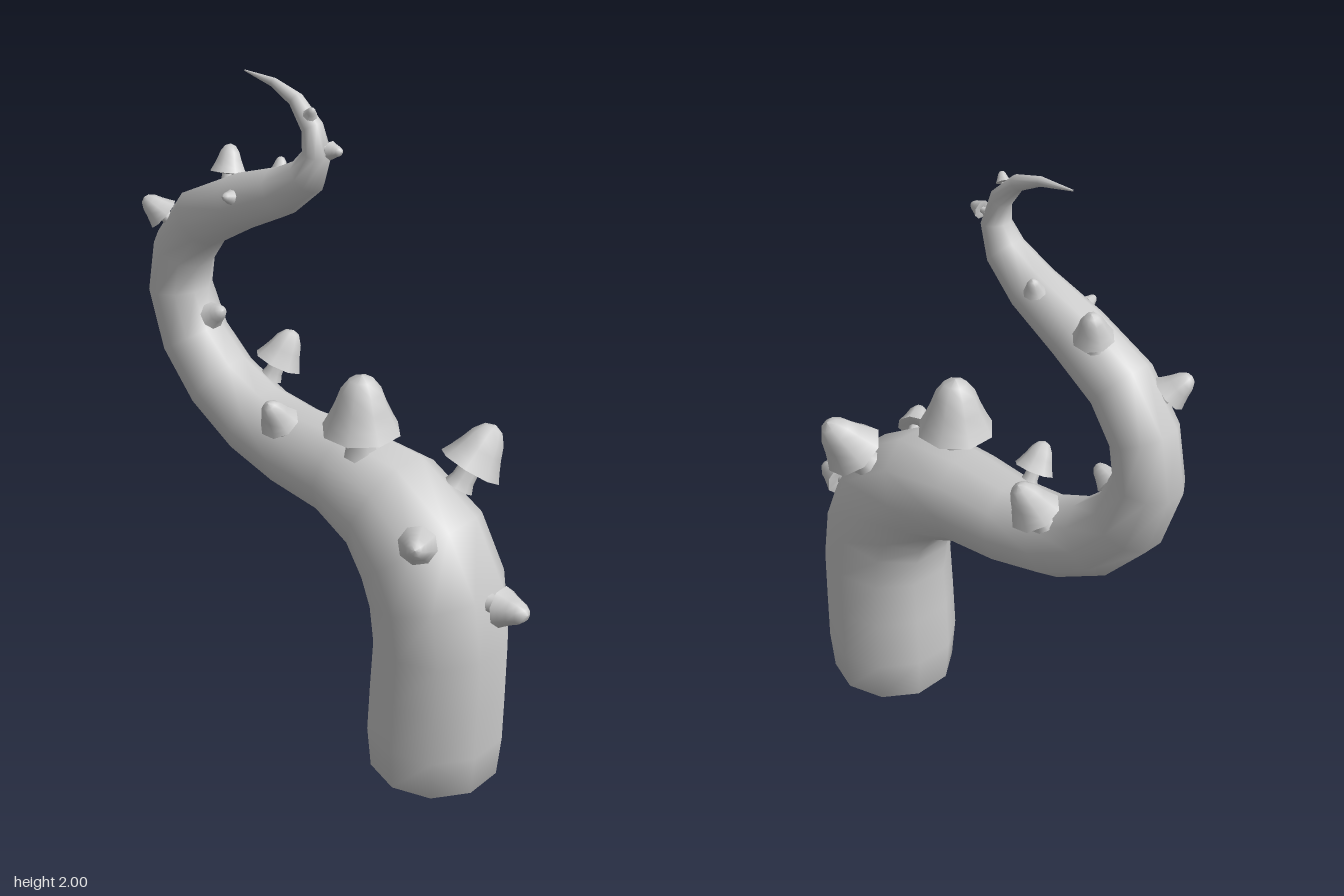
import * as THREE from 'three';

const material = new THREE.MeshStandardMaterial({ color: 0xcccccc });
const SIDES = 10;

// Tentacle rings from base to tip: centre x, centre y, radius
const RINGS = [
  [0.40, 0, 0.001], [0.40, 0.005, 0.135], [0.41, 0.045, 0.195], [0.41, 0.18, 0.207],
  [0.415, 0.34, 0.204], [0.42, 0.5, 0.2], [0.40, 0.64, 0.2], [0.34, 0.76, 0.195],
  [0.22, 0.855, 0.172], [0.05, 0.892, 0.142], [-0.14, 0.9, 0.128], [-0.3, 0.935, 0.118],
  [-0.45, 1.015, 0.11], [-0.56, 1.13, 0.103], [-0.615, 1.28, 0.096], [-0.59, 1.41, 0.094],
  [-0.505, 1.525, 0.092], [-0.35, 1.61, 0.083], [-0.19, 1.68, 0.07], [-0.09, 1.75, 0.055],
  [-0.055, 1.82, 0.041], [-0.072, 1.89, 0.031], [-0.13, 1.953, 0.022], [-0.21, 1.983, 0.013],
  [-0.32, 1.995, 0.002],
];

// Sweep a ring of vertices along the bent centre line
function createTentacle() {
  const positions = [];
  const index = [];
  RINGS.forEach(([x, y, r], k) => {
    const before = RINGS[Math.max(k - 1, 0)];
    const after = RINGS[Math.min(k + 1, RINGS.length - 1)];
    const t = new THREE.Vector2(after[0] - before[0], after[1] - before[1]).normalize();
    if (k < 3) t.set(0, 1);
    for (let j = 0; j < SIDES; j++) {
      const a = ((j + 0.5) / SIDES) * Math.PI * 2;
      const out = Math.cos(a) * r;
      positions.push(x + t.y * out, y - t.x * out, 0.01 + Math.sin(a) * r);
      if (k < RINGS.length - 1) {
        const p = k * SIDES + j;
        const q = k * SIDES + ((j + 1) % SIDES);
        index.push(p, p + SIDES, q, q, p + SIDES, q + SIDES);
      }
    }
  });
  const geometry = new THREE.BufferGeometry();
  geometry.setAttribute('position', new THREE.Float32BufferAttribute(positions, 3));
  geometry.setIndex(index);
  geometry.computeVertexNormals();
  const mesh = new THREE.Mesh(geometry, material);
  mesh.name = 'tentacle';
  return mesh;
}

const lathe = (profile) =>
  new THREE.LatheGeometry(profile.map(([r, y]) => new THREE.Vector2(r, y)), 8, Math.PI / 8);

// Unit mushroom: cap radius 1, rim at y = 0, tip pointing up
const mushroomParts = {
  mushroomStem: lathe([[0.48, -0.7], [0.36, -0.4], [0.32, 0.15]]),
  mushroomGills: lathe([[0.001, 0.12], [0.45, -0.08], [1, 0]]),
  mushroomCap: lathe([[1, 0], [0.85, 0.28], [0.68, 0.65], [0.53, 1.05], [0.3, 1.36], [0.001, 1.47]]),
};

// Mushrooms: rim centre, growth direction, cap radius
const MUSHROOMS = [
  [[0.14, 1.07, 0.045], [0, 1, 0], 0.115],
  [[0.385, 0.965, -0.14], [0.2, 0.8, -0.5], 0.095],
  [[0.45, 0.875, 0.165], [0.5, 0.35, 0.75], 0.056],
  [[0.625, 0.675, 0.005], [1, 0.12, 0], 0.06],
  [[-0.12, 1.025, 0.105], [0, 0.85, 0.5], 0.06],
  [[-0.315, 1.08, -0.095], [0.2, 0.85, -0.4], 0.075],
  [[-0.49, 1.215, 0.005], [0.8, 0.5, 0], 0.042],
  [[-0.615, 1.52, 0.065], [-0.5, 0.65, 0.45], 0.052],
  [[-0.452, 1.66, -0.045], [-0.1, 0.9, -0.25], 0.055],
  [[-0.248, 1.708, -0.045], [-0.1, 0.9, -0.3], 0.03],
  [[-0.315, 1.652, 0.082], [0, 0.3, 0.95], 0.022],
  [[-0.008, 1.838, 0.005], [1, 0.12, 0], 0.026],
  [[-0.065, 1.928, 0.025], [0.55, 0.75, 0.3], 0.02],
];

function createMushroom([position, direction, size]) {
  const mushroom = new THREE.Group();
  mushroom.name = 'mushroom';
  for (const [name, geometry] of Object.entries(mushroomParts)) {
    const mesh = new THREE.Mesh(geometry, material);
    mesh.name = name;
    mushroom.add(mesh);
  }
  mushroom.position.set(...position);
  mushroom.quaternion.setFromUnitVectors(
    new THREE.Vector3(0, 1, 0), new THREE.Vector3(...direction).normalize());
  mushroom.scale.setScalar(size);
  return mushroom;
}

export function createModel() {
  const model = new THREE.Group();
  model.name = 'mushroomTentacle';
  model.add(createTentacle(), ...MUSHROOMS.map(createMushroom));
  return model;
}
